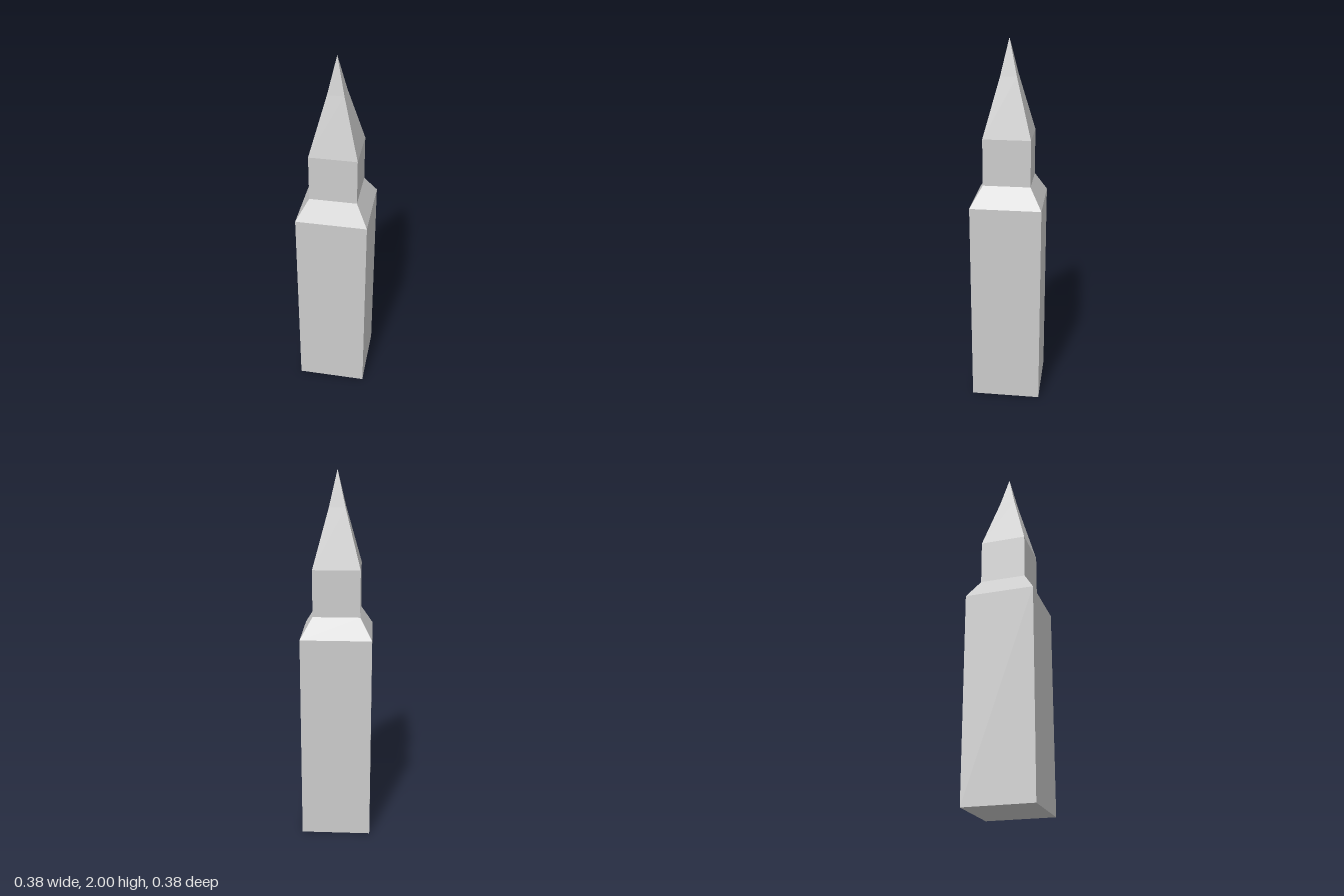
import * as THREE from 'three';

const material = new THREE.MeshStandardMaterial({ color: 0xcccccc, flatShading: true });

// Square tapered section; half-widths at the bottom and top
function section(name, y0, y1, half0, half1, openEnded = true) {
  const geometry = new THREE.CylinderGeometry(half1 * Math.SQRT2, half0 * Math.SQRT2, y1 - y0, 4, 1, openEnded);
  geometry.rotateY(Math.PI / 4);
  geometry.translate(0, (y0 + y1) / 2, 0);
  const mesh = new THREE.Mesh(geometry, material);
  mesh.name = name;
  return mesh;
}

export function createModel() {
  const tower = new THREE.Group();
  tower.name = 'tower';
  tower.add(
    section('shaft', 0, 1.14, 0.19, 0.19, false),
    section('slopedShoulder', 1.14, 1.25, 0.19, 0.126),
    section('belfry', 1.25, 1.5, 0.126, 0.126),
    // Spire in two pitches, slightly steeper at the tip
    section('lowerSpire', 1.5, 1.81, 0.126, 0.043),
    section('spireTip', 1.81, 2, 0.043, 0)
  );
  return tower;
}
